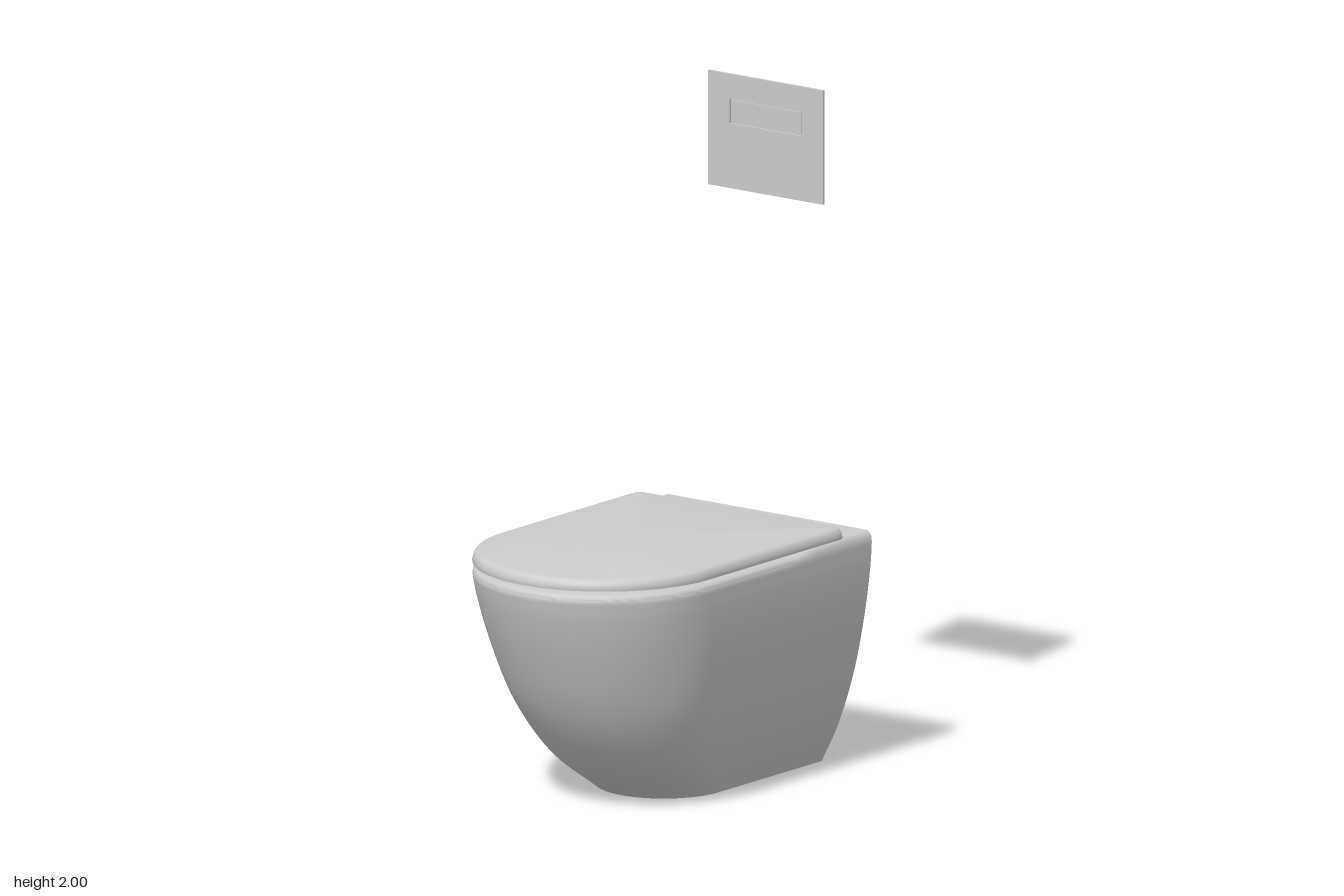
import * as THREE from 'three';
import { toCreasedNormals } from 'three/addons/utils/BufferGeometryUtils.js';

const material = new THREE.MeshStandardMaterial({ color: 0xcccccc });

// D-shaped outline at height y: straight sides, round front at xf, flat back at xb
// with corner radius r, half width w
function outline({ y, w, xf, xb, r = 0, lift = () => 0 }) {
  const half = [];
  const c = xf + w;
  for (let i = 0; i <= 4; i++) half.push([xb, (w - r) * i / 4]);
  for (let i = 1; i <= 5; i++) {
    const a = (i / 5) * Math.PI / 2;
    half.push([xb - r + r * Math.cos(a), w - r + r * Math.sin(a)]);
  }
  for (let i = 1; i <= 20; i++) half.push([xb - r + (c - xb + r) * i / 20, w]);
  for (let i = 1; i <= 28; i++) {
    const a = (i / 28) * Math.PI / 2;
    half.push([c - w * Math.sin(a), w * Math.cos(a)]);
  }
  const mirrored = half.slice(1, -1).reverse().map(([x, z]) => [x, -z]);
  return [...half, ...mirrored].map(([x, z]) => [x, y + lift(x, y), z]);
}

// Skin a list of rings, closing both ends at a centre point
function loft(rings, start, end, crease) {
  const n = rings[0].length;
  const all = [Array(n).fill(start), ...rings, Array(n).fill(end)];
  const index = [];
  for (let j = 0; j < all.length - 1; j++) {
    for (let i = 0; i < n; i++) {
      const a = j * n + i, b = j * n + (i + 1) % n;
      if (j < all.length - 2) index.push(a, a + n, b + n);
      if (j > 0) index.push(a, b + n, b);
    }
  }
  const g = new THREE.BufferGeometry();
  g.setAttribute('position', new THREE.Float32BufferAttribute(all.flat(2), 3));
  g.setIndex(index);
  return toCreasedNormals(g, crease);
}

function add(parent, name, geometry, x = 0, y = 0, z = 0) {
  const mesh = new THREE.Mesh(geometry, material);
  mesh.name = name;
  mesh.position.set(x, y, z);
  parent.add(mesh);
  return mesh;
}

// Bowl: outer profile as (half width, height, front x), then rim and inner basin
function bowlGeometry() {
  const lift = (x, y) =>
    0.013 * THREE.MathUtils.smoothstep(x, 0.2, 0.3) * THREE.MathUtils.clamp((y - 0.68) / 0.02, 0, 1);
  const profile = new THREE.CatmullRomCurve3([
    [0.2, 0, -0.13], [0.265, 0.13, -0.31], [0.322, 0.3, -0.445],
    [0.36, 0.48, -0.53], [0.379, 0.62, -0.58], [0.383, 0.68, -0.595],
  ].map((p) => new THREE.Vector3(...p)));
  const levels = profile.getPoints(26).map((p) => [p.y, p.x, p.z, 0.56]);
  levels.push(
    [0.69, 0.381, -0.593, 0.56], [0.697, 0.374, -0.587, 0.56], [0.7, 0.362, -0.575, 0.56],
    [0.7, 0.27, -0.49, 0.32], [0.7, 0.25, -0.47, 0.2], [0.685, 0.242, -0.462, 0.195],
    [0.6, 0.235, -0.45, 0.18], [0.45, 0.2, -0.38, 0.12], [0.32, 0.12, -0.24, 0.04]);
  const rings = levels.map(([y, w, xf, xb]) => outline({ y, w, xf, xb, lift }));
  return loft(rings, [0.3, 0, 0], [-0.09, 0.29, 0], 0.7);
}

// Lid: thin D-shaped slab with a softly rounded upper edge
function lidGeometry() {
  const levels = [
    [0.714, 0], [0.718, -0.001], [0.728, 0.001], [0.737, 0.004],
    [0.743, 0.009], [0.7465, 0.016], [0.748, 0.026],
  ];
  const rings = levels.map(([y, inset]) => outline({
    y, w: 0.382 - inset, xf: -0.595 + inset, xb: 0.44 - inset, r: 0.03 - inset * 0.5,
  }));
  return loft(rings, [0, 0.714, 0], [0, 0.748, 0], 0.7);
}

function rectangle(path, w, h, cy = 0) {
  path.moveTo(-w / 2, cy - h / 2);
  path.lineTo(w / 2, cy - h / 2);
  path.lineTo(w / 2, cy + h / 2);
  path.lineTo(-w / 2, cy + h / 2);
  path.closePath();
  return path;
}

// Wall-mounted flush plate with a framed button in front and a housing behind
function flushPlate() {
  const plate = new THREE.Group();
  plate.name = 'flushPlate';
  const face = rectangle(new THREE.Shape(), 0.42, 0.34);
  face.holes.push(rectangle(new THREE.Path(), 0.264, 0.074, 0.06));
  const faceGeometry = new THREE.ExtrudeGeometry(face, { depth: 0.009, bevelEnabled: false });
  faceGeometry.rotateY(Math.PI / 2);
  add(plate, 'facePlate', faceGeometry, 0.552, 1.83, 0);
  add(plate, 'flushButton', new THREE.BoxGeometry(0.006, 0.066, 0.256), 0.557, 1.89, 0);
  add(plate, 'housingCore', new THREE.BoxGeometry(0.022, 0.265, 0.34), 0.57, 1.834, 0);
  add(plate, 'housingBack', new THREE.BoxGeometry(0.016, 0.28, 0.357), 0.587, 1.835, 0.002);
  for (const side of [-1, 1]) {
    for (const y of [1.775, 1.895]) {
      add(plate, 'sideClip', new THREE.BoxGeometry(0.012, 0.108, 0.008), 0.571, y, side * 0.173);
    }
  }
  add(plate, 'bottomTab', new THREE.BoxGeometry(0.03, 0.016, 0.088), 0.577, 1.692, 0.095);
  return plate;
}

export function createModel() {
  const model = new THREE.Group();
  model.name = 'wallHungToilet';
  add(model, 'bowl', bowlGeometry());
  add(model, 'lid', lidGeometry());
  model.add(flushPlate());
  return model;
}
